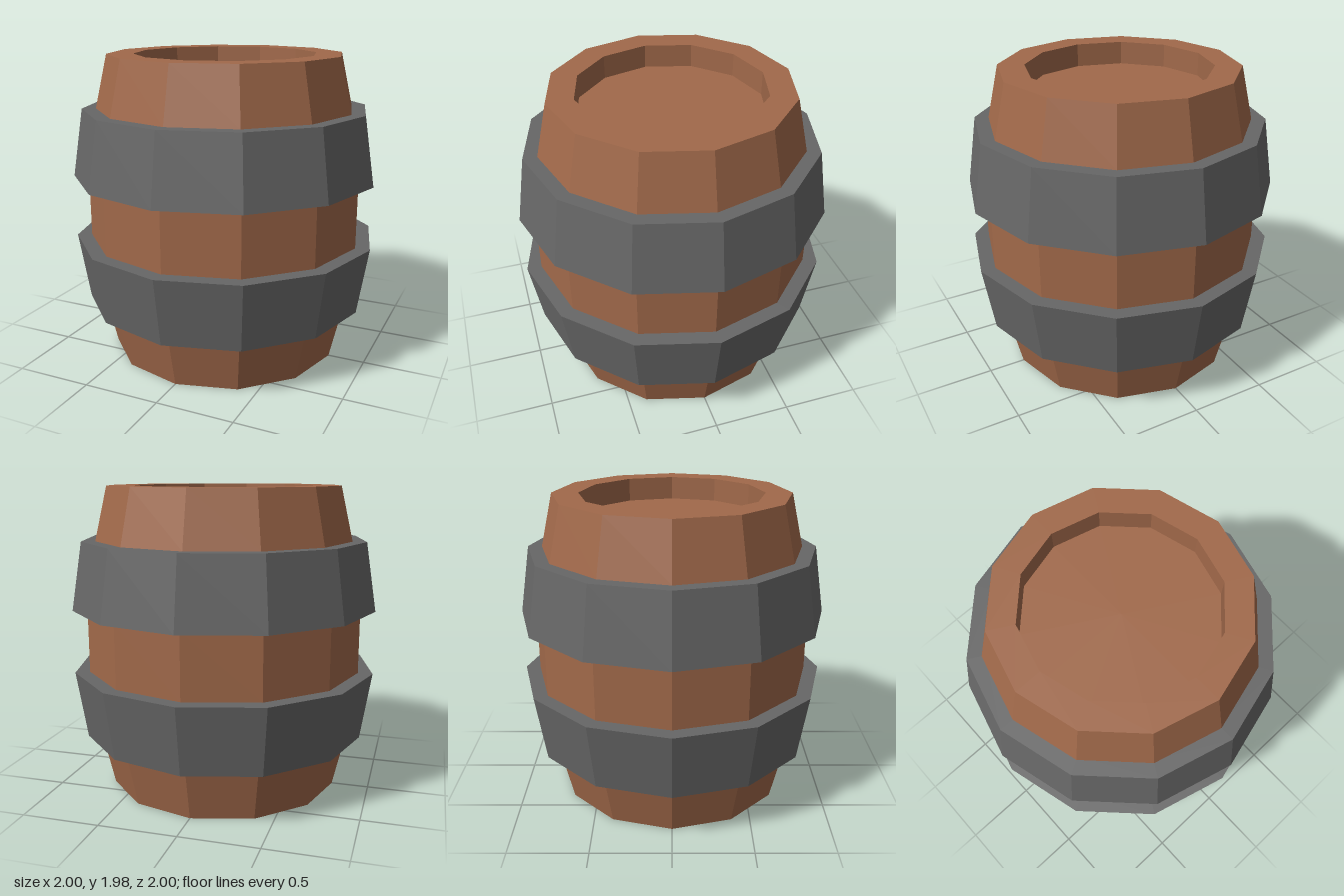
import * as THREE from 'three';

const SIDES = 12;
const HEIGHT = 1.98;

// Revolve a bottom-to-top profile into a faceted twelve-sided solid
function facetedLathe(name, profile, material) {
  const points = profile.map(([r, y]) => new THREE.Vector2(r, y));
  const geometry = new THREE.LatheGeometry(points, SIDES).toNonIndexed();
  geometry.computeVertexNormals();
  const mesh = new THREE.Mesh(geometry, material);
  mesh.name = name;
  return mesh;
}

// Append the mirror image of a lower-half profile about mid-height
function mirrorProfile(half) {
  return [...half, ...half.map(([r, y]) => [r, HEIGHT - y]).reverse()];
}

export function createModel() {
  const wood = new THREE.MeshStandardMaterial({ color: 0xa1694a });
  wood.name = 'brownWood';
  const iron = new THREE.MeshStandardMaterial({ color: 0x676767 });
  iron.name = 'greyIron';

  const barrel = new THREE.Group();
  barrel.name = 'barrel';

  // Staves with a recessed head at each end
  barrel.add(facetedLathe('woodenBody', mirrorProfile([
    [0, 0.15], [0.59, 0.15], [0.59, 0], [0.76, 0], [0.84, 0.345], [0.905, 0.785],
  ]), wood));

  // Hoops flare towards the middle and start just inside the staves
  const lowerHoop = [[0.82, 0.345], [0.93, 0.345], [1, 0.785], [0.88, 0.785]];
  const upperHoop = lowerHoop.map(([r, y]) => [r, HEIGHT - y]).reverse();
  barrel.add(facetedLathe('lowerHoop', lowerHoop, iron));
  barrel.add(facetedLathe('upperHoop', upperHoop, iron));

  return barrel;
}
